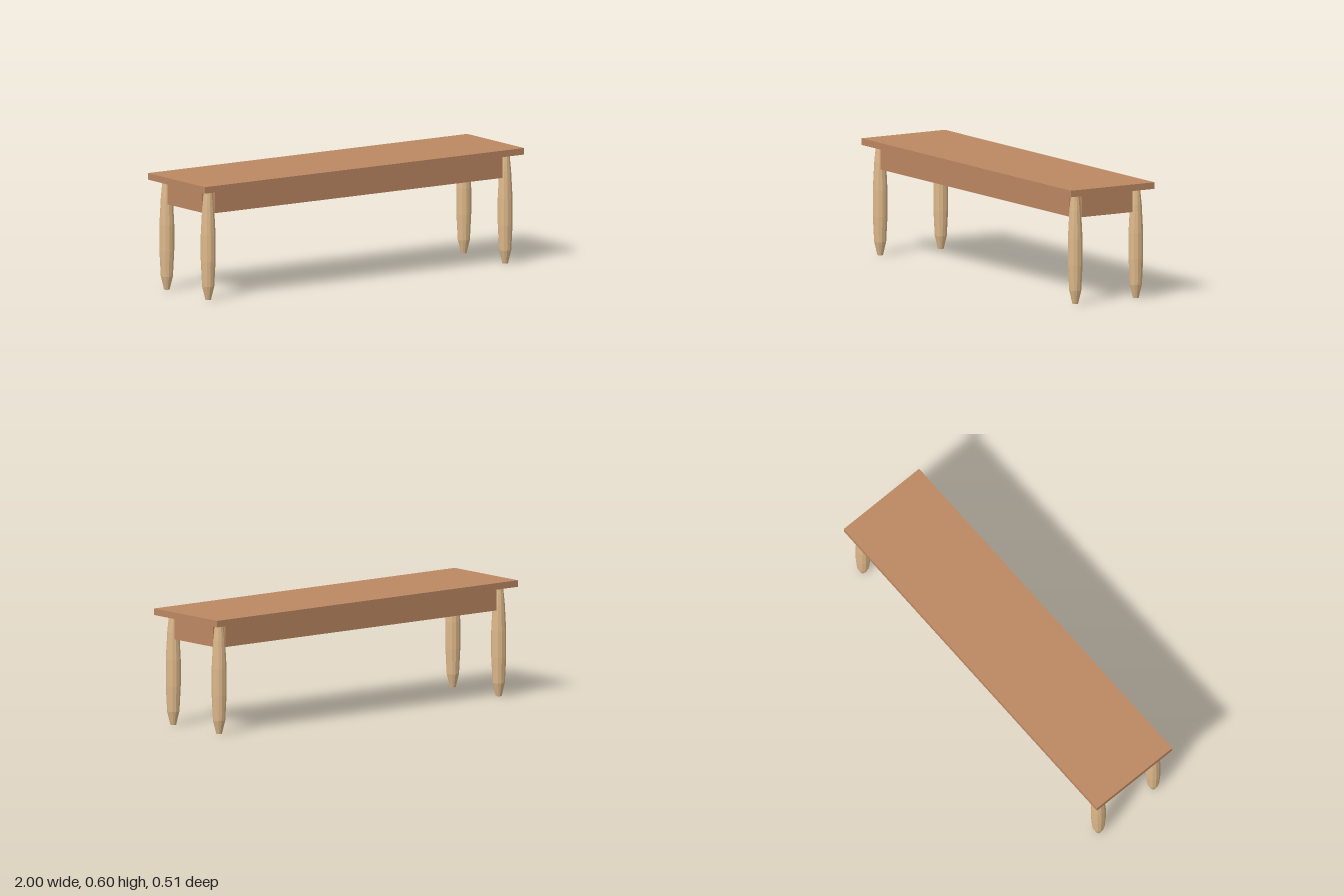
import * as THREE from 'three';

const TOP_Y = 0.602, UNDER_Y = 0.568, RAIL_Y = 0.449;
const LEG_X = 0.93, LEG_Z = 0.184, RAIL_T = 0.034;

export function createModel() {
  const group = new THREE.Group();
  const brownWood = new THREE.MeshStandardMaterial({ color: 0xbc8862 });
  brownWood.name = 'brown wood';
  const paleWood = new THREE.MeshStandardMaterial({ color: 0xdeb98b, flatShading: true });
  paleWood.name = 'pale wood';

  const add = (name, geometry, material, x, y, z) => {
    const mesh = new THREE.Mesh(geometry, material);
    mesh.name = name;
    mesh.position.set(x, y, z);
    group.add(mesh);
  };

  // Flat plank on top
  add('benchTop', new THREE.BoxGeometry(2, TOP_Y - UNDER_Y, 0.507), brownWood,
    0, (TOP_Y + UNDER_Y) / 2, 0);

  // Rails running from leg to leg, on the leg centre lines
  const railH = UNDER_Y - RAIL_Y, railY = (UNDER_Y + RAIL_Y) / 2;
  const longRail = new THREE.BoxGeometry(1.8, railH, RAIL_T);
  const endRail = new THREE.BoxGeometry(RAIL_T, railH, 0.307);
  for (const s of [1, -1]) {
    add(s > 0 ? 'frontRail' : 'backRail', longRail, brownWood, 0, railY, s * LEG_Z);
    add(s > 0 ? 'leftEndRail' : 'rightEndRail', endRail, brownWood, s * LEG_X, railY, 0);
  }

  // Turned twelve-sided legs, swelling in the middle
  const profile = [
    [0, 0], [0.0148, 0], [0.0318, 0.07], [0.0386, 0.203],
    [0.0386, 0.34], [0.031, 0.483], [0.0226, UNDER_Y], [0, UNDER_Y],
  ].map(([r, y]) => new THREE.Vector2(r, y));
  const leg = new THREE.LatheGeometry(profile, 12, Math.PI / 12);
  for (const sx of [1, -1]) {
    for (const sz of [1, -1]) {
      add((sz > 0 ? 'front' : 'back') + (sx > 0 ? 'Left' : 'Right') + 'Leg', leg, paleWood,
        sx * LEG_X, 0, sz * LEG_Z);
    }
  }
  return group;
}
